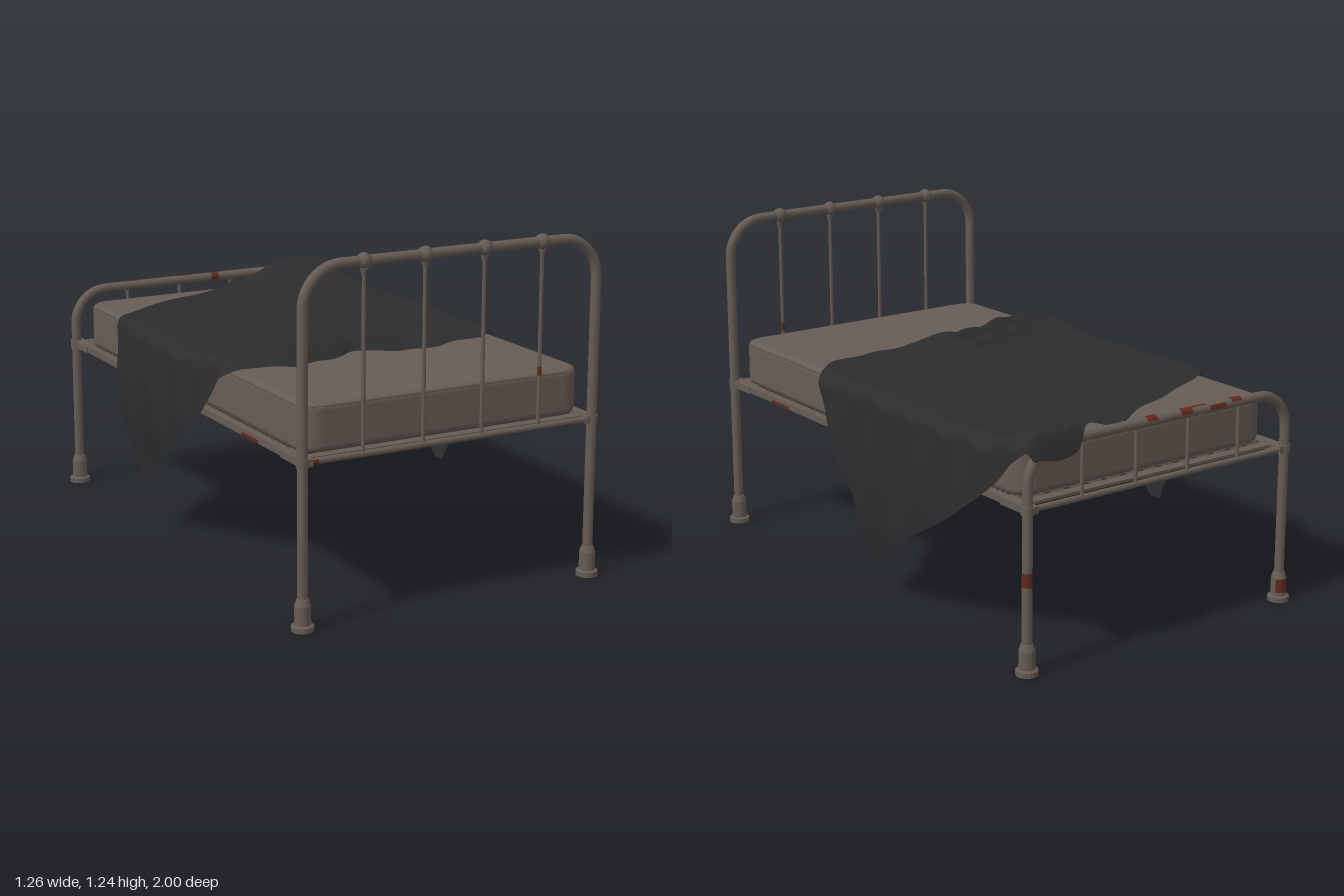
import * as THREE from 'three';
import { mergeGeometries } from 'three/addons/utils/BufferGeometryUtils.js';

const mat = (name, color, side = THREE.FrontSide) => {
  const m = new THREE.MeshStandardMaterial({ color, side });
  m.name = name;
  return m;
};
const V = (x, y, z) => new THREE.Vector3(x, y, z);

export function createModel() {
  const bed = new THREE.Group();
  bed.name = 'bed';
  const metal = mat('worn metal', 0x665b53);
  const rust = mat('rust', 0x622a1c);
  const ticking = mat('mattress cloth', 0x675c55);
  const wire = mat('spring wire', 0x544a43);
  const cloth = mat('dark blanket', 0x2c2c2d, THREE.DoubleSide);

  const add = (name, geo, material, x = 0, y = 0, z = 0) => {
    const m = new THREE.Mesh(geo, material);
    m.name = name;
    m.position.set(x, y, z);
    bed.add(m);
    return m;
  };
  // straight round bar between two points
  const bar = (name, a, b, r, sides = 12) => {
    const d = b.clone().sub(a);
    const m = add(name, new THREE.CylinderGeometry(r, r, d.length(), sides), metal);
    m.position.copy(a).lerp(b, 0.5);
    m.quaternion.setFromUnitVectors(V(0, 1, 0), d.normalize());
  };

  // Bent tube end frames with feet, crossbar and spindles
  const PX = 0.57, PR = 0.018, BAR = 0.573, BR = 0.011;
  const spindleX = [-0.345, -0.115, 0.115, 0.345];
  const footProfile = [[0, 0], [0.039, 0], [0.039, 0.018], [0.029, 0.022], [0.028, 0.088], [0.021, 0.108], [0.017, 0.11]]
    .map(p => new THREE.Vector2(...p));
  const footGeo = new THREE.LatheGeometry(footProfile, 16).toNonIndexed();
  footGeo.computeVertexNormals();

  const endFrame = (label, z, top, R) => {
    const k = R * 0.45, path = new THREE.CurvePath();
    path.add(new THREE.LineCurve3(V(-PX, 0.05, z), V(-PX, top - R, z)));
    path.add(new THREE.CubicBezierCurve3(V(-PX, top - R, z), V(-PX, top - k, z), V(-PX + k, top, z), V(-PX + R, top, z)));
    path.add(new THREE.LineCurve3(V(-PX + R, top, z), V(PX - R, top, z)));
    path.add(new THREE.CubicBezierCurve3(V(PX - R, top, z), V(PX - k, top, z), V(PX, top - k, z), V(PX, top - R, z)));
    path.add(new THREE.LineCurve3(V(PX, top - R, z), V(PX, 0.05, z)));
    add(label + 'Arch', new THREE.TubeGeometry(path, 160, PR, 12), metal);
    bar(label + 'Crossbar', V(-PX, BAR, z), V(PX, BAR, z), BR);
    for (const s of [-1, 1]) {
      add(label + 'Foot', footGeo, metal, s * PX, 0, z);
      add(label + 'Joint', new THREE.CylinderGeometry(0.022, 0.022, 0.03, 14), metal, s * PX, BAR, z);
    }
    for (const x of spindleX) bar(label + 'Spindle', V(x, BAR, z), V(x, top, z), 0.007, 8);
  };
  const HZ = 0.96, FZ = -0.945, HT = 1.217, FT = 0.785;
  endFrame('head', HZ, HT, 0.14);
  endFrame('foot', FZ, FT, 0.13);

  // Knobs and collars on the head rail
  for (const x of spindleX) {
    add('knob', new THREE.SphereGeometry(0.027, 16, 12), metal, x, HT, HZ);
    add('knobCollar', new THREE.CylinderGeometry(0.013, 0.009, 0.02, 10), metal, x, HT - 0.035, HZ);
  }

  // Angle iron bed frame and corner brackets
  for (const s of [-1, 1]) {
    add('sideRailFlat', new THREE.BoxGeometry(0.03, 0.006, 1.88), metal, s * 0.562, 0.584, 0.008);
    add('sideRailWeb', new THREE.BoxGeometry(0.006, 0.024, 1.88), metal, s * 0.574, 0.575, 0.008);
    for (const z of [0.9, -0.885]) {
      add('cornerBracket', new THREE.BoxGeometry(0.044, 0.026, 0.15), metal, s * 0.559, 0.573, z);
    }
  }
  for (const z of [0.925, -0.89]) add('endRail', new THREE.BoxGeometry(1.1, 0.01, 0.04), metal, 0, 0.578, z);

  // Woven spring mesh: staggered links with long wires and edge hooks
  const links = [];
  const box = (w, h, d, x, y, z) => links.push(new THREE.BoxGeometry(w, h, d).translate(x, y, z));
  const cols = 26, rows = 56;
  for (let i = 0; i <= cols; i++) {
    const x = -0.52 + 1.04 * i / cols;
    box(0.008, 0.006, 1.76, x, 0.58, 0.008);
    if (i === cols) break;
    for (let j = 0; j < rows; j++) {
      box(0.04, 0.008, 0.017, x + 0.02, 0.579, -0.86 + (j + (i % 2) * 0.5) * 1.74 / rows);
    }
  }
  for (let j = 0; j < 58; j++) for (const s of [-1, 1]) box(0.05, 0.006, 0.012, s * 0.54, 0.58, -0.84 + j * 0.03);
  add('springMesh', mergeGeometries(links), wire);

  // Mattress with soft edges and piping
  const rounded = (hx, hz, r) => {
    const s = new THREE.Shape();
    s.moveTo(-hx + r, -hz);
    s.lineTo(hx - r, -hz); s.absarc(hx - r, -hz + r, r, -Math.PI / 2, 0);
    s.lineTo(hx, hz - r); s.absarc(hx - r, hz - r, r, 0, Math.PI / 2);
    s.lineTo(-hx + r, hz); s.absarc(-hx + r, hz - r, r, Math.PI / 2, Math.PI);
    s.lineTo(-hx, -hz + r); s.absarc(-hx + r, -hz + r, r, Math.PI, Math.PI * 1.5);
    return s;
  };
  const MZ = 0.03;
  const body = new THREE.ExtrudeGeometry(rounded(0.525, 0.875, 0.05),
    { depth: 0.122, bevelEnabled: true, bevelThickness: 0.024, bevelSize: 0.025, bevelSegments: 5, curveSegments: 8 });
  body.rotateX(-Math.PI / 2);
  add('mattress', body, ticking, 0, 0.608, MZ);
  for (const y of [0.602, 0.742]) {
    const pts = rounded(0.543, 0.893, 0.065).getSpacedPoints(120).slice(0, -1).map(p => V(p.x, y, p.y + MZ));
    add('mattressPiping', new THREE.TubeGeometry(new THREE.CatmullRomCurve3(pts, true), 160, 0.006, 6, true), ticking);
  }

  // Blanket cross-sections from one hanging tip to the other: x, y, back z, front z
  const T = 0.77;
  const sections = [
    [-0.592, 0.19, -0.25, -0.2], [-0.602, 0.28, -0.28, -0.12], [-0.617, 0.37, -0.33, 0.0], [-0.626, 0.46, -0.37, 0.13],
    [-0.624, 0.57, -0.41, 0.28], [-0.604, 0.68, -0.45, 0.37], [-0.59, 0.74, -0.48, 0.41],
    [-0.555, T, -0.52, 0.45], [-0.45, T, -0.59, 0.48], [-0.33, T, -0.65, 0.49], [-0.2, T, -0.71, 0.46],
    [-0.06, T, -0.76, 0.42], [0.1, T, -0.87, 0.45], [0.2, T, -0.9, 0.445], [0.3, T, -0.93, 0.43],
    [0.39, T, -0.99, 0.42], [0.48, T, -1.0, 0.39], [0.555, T, -0.995, 0.34],
    [0.596, 0.74, -0.98, 0.29], [0.606, 0.68, -0.88, 0.24], [0.615, 0.6, -0.77, 0.2], [0.62, 0.53, -0.68, 0.16],
    [0.625, 0.45, -0.57, 0.11], [0.623, 0.37, -0.43, 0.03], [0.617, 0.28, -0.27, -0.01], [0.595, 0.16, -0.09, -0.05],
  ];
  const spline = c => new THREE.CatmullRomCurve3(sections.map(s => V(s[0], s[1], s[c])), false, 'catmullrom', 0.4);
  const back = spline(2), front = spline(3);
  const step = THREE.MathUtils.smoothstep;
  const NU = 150, NV = 90, pos = [], idx = [];
  for (let i = 0; i <= NU; i++) {
    const b = back.getPoint(i / NU), f = front.getPoint(i / NU);
    for (let j = 0; j <= NV; j++) {
      let { x, y } = b;
      let z = THREE.MathUtils.lerp(b.z, f.z, j / NV);
      const d = f.z - z, side = Math.sign(x);
      const onTop = step(y, 0.72, 0.765), hang = 1 - step(y, 0.55, 0.74);
      // broad shallow creases on top
      y += onTop * 0.003 * (Math.sin(z * 21 + x * 5) + Math.sin(x * 13 - z * 9));
      // bunched front edge
      const bunch = (1 - step(x, -0.1, 0.25)) * (0.8 + 0.2 * Math.sin(x * 17 + 1.5));
      y += onTop * bunch * (0.045 * Math.exp(-(((d - 0.07) / 0.045) ** 2)) + 0.03 * Math.exp(-(((d - 0.17) / 0.03) ** 2)));
      y += onTop * 0.008 * Math.sin(x * 43 + d * 30) * Math.exp(-(((d - 0.1) / 0.08) ** 2)) * bunch;
      y -= onTop * 0.008 * Math.exp(-d * 60);
      z += onTop * 0.012 * Math.sin(x * 31) * Math.exp(-d * 12);
      // corner pulled over the foot rail
      const corner = step(x, 0.12, 0.34) * step(-z, 0.72, 0.93);
      y += corner * 0.052 * step(y, 0.6, 0.77) - onTop * 2.4 * Math.max(0, -z - 0.965);
      // folds in the hanging sides
      x += side * (hang * 0.006 * Math.sin(z * 24 + y * 7) + (1 - hang) * (1 - onTop) * 0.006 * Math.sin(z * 33));
      pos.push(x, y, z);
      if (i < NU && j < NV) {
        const a = i * (NV + 1) + j, c = a + NV + 1;
        idx.push(a, a + 1, c, c, a + 1, c + 1);
      }
    }
  }
  const sheet = new THREE.BufferGeometry();
  sheet.setAttribute('position', new THREE.Float32BufferAttribute(pos, 3));
  sheet.setIndex(idx);
  sheet.computeVertexNormals();
  add('blanket', sheet, cloth);

  // Rust patches: thin curved flakes over part of a tube's girth
  const flake = (name, r, len, from, span) =>
    [name, new THREE.CylinderGeometry(r + 0.001, r + 0.001, len, 8, 1, true, from, span), rust];
  const railFlake = (name, r, x0, x1, y, z, from, span) => {
    add(...flake(name, r, x1 - x0, from, span), (x0 + x1) / 2, y, z).rotation.z = Math.PI / 2;
  };
  // on the rails an angle of 0 faces forward, PI / 2 faces up
  for (const [x0, x1, from, span] of [
    [-0.345, -0.3, 1.2, 1.5], [-0.19, -0.12, 1.4, 0.6], [-0.12, -0.07, 1.2, 1.9], [-0.27, -0.2, 2.4, 0.9],
    [0.025, 0.055, -0.6, 2], [0.035, 0.08, 1.3, 1.6]]) {
    railFlake('footRailRust', PR, x0, x1, FT, FZ, from, span);
  }
  for (const [x0, x1, from, span] of [[-0.545, -0.515, -1, 1.8], [-0.5, -0.05, -2.1, 1.3], [0.02, 0.5, -2.1, 1.3]]) {
    railFlake('crossbarRust', BR, x0, x1, BAR, HZ, from, span);
  }
  add(...flake('postRust', PR, 0.05, 1.2, 2.4), PX, 0.335, FZ);
  add(...flake('footRust', 0.0285, 0.05, 2, 2.6), -PX, 0.06, FZ);
  add(...flake('spindleRust', 0.007, 0.03, 0, Math.PI * 2), 0.345, 0.77, HZ);
  for (const s of [-1, 1]) {
    add('sideRailRust', new THREE.BoxGeometry(0.002, 0.012, 0.12), rust, s * 0.5775, 0.569, 0.6);
    add('railUndersideRust', new THREE.BoxGeometry(0.018, 0.002, 0.8), rust, s * 0.56, 0.58, 0.3);
  }
  add('endRailRust', new THREE.BoxGeometry(0.95, 0.002, 0.03), rust, 0, 0.5725, 0.925);

  return bed;
}
